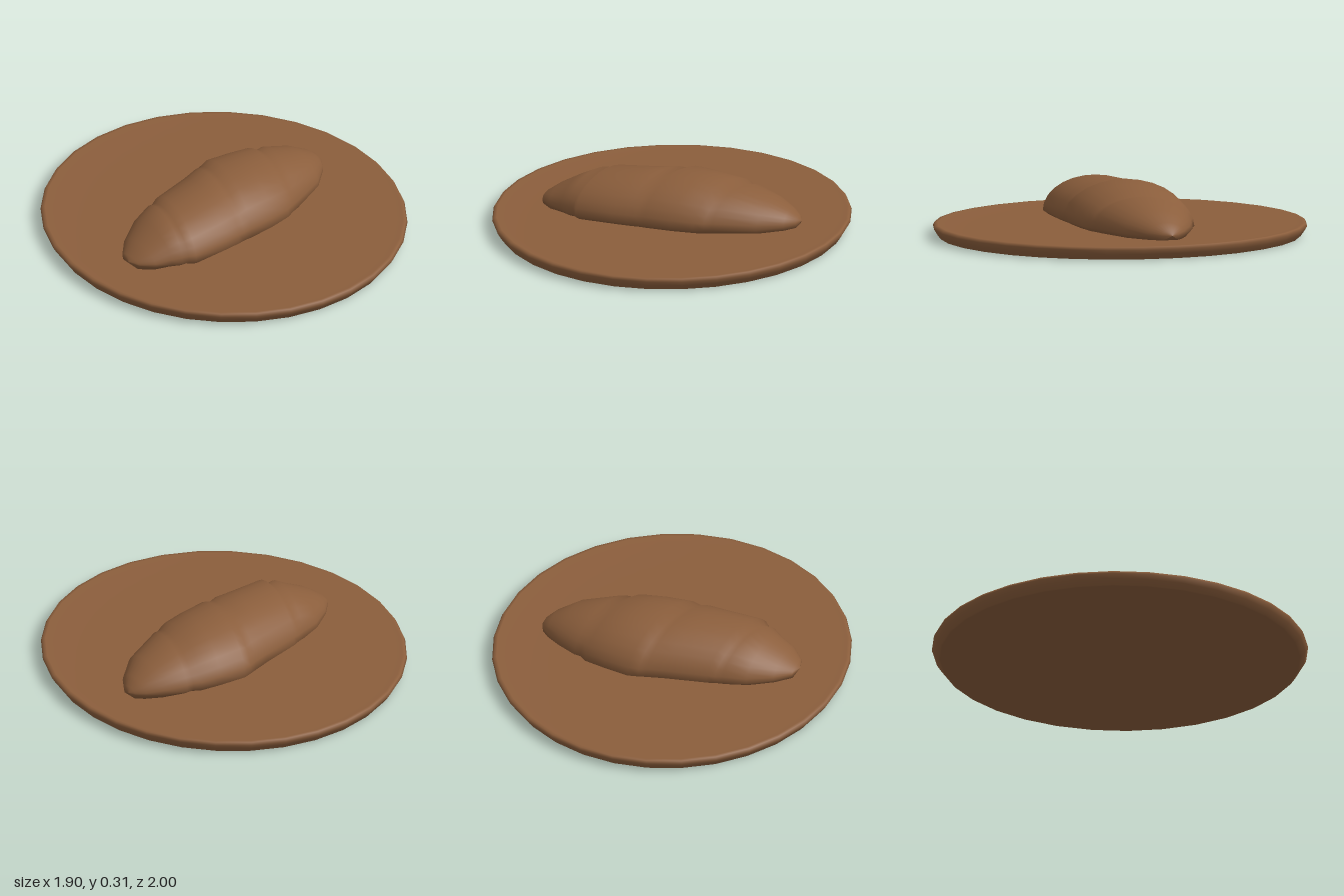
import * as THREE from 'three';

const crust = new THREE.MeshStandardMaterial({ color: 0x8b5e3c });
crust.name = 'warm brown';

// Oval plate: shallow lathe with a flared rim
function makePlate() {
  const profile = [
    [0, 0], [0.955, 0], [0.965, 0.002], [0.985, 0.03], [1, 0.055],
    [0.992, 0.07], [0.975, 0.071], [0.93, 0.067], [0.6, 0.065], [0, 0.065],
  ].map(([r, y]) => new THREE.Vector2(r, y));
  const geometry = new THREE.LatheGeometry(profile, 32);
  geometry.scale(0.95, 1, 1);
  const plate = new THREE.Mesh(geometry, crust);
  plate.name = 'plate';
  return plate;
}

// Loaf: domed cross-sections along x, skewed so the scored grooves run diagonally
function makeLoaf() {
  // [x on the centre line, back z, front z, top y, skew]
  const stations = [
    [-0.71, 0.025, 0.025, 0.09, 0],
    [-0.69, -0.05, 0.09, 0.115, 0.05],
    [-0.62, -0.125, 0.16, 0.165, 0.1],
    [-0.52, -0.2, 0.2, 0.218, 0.2],
    [-0.435, -0.235, 0.235, 0.26, 0.33],
    [-0.395, -0.242, 0.245, 0.244, 0.33], // groove
    [-0.36, -0.255, 0.275, 0.28, 0.33],
    [-0.15, -0.29, 0.287, 0.29, 0.33],
    [-0.06, -0.31, 0.29, 0.3, 0.33],
    [-0.02, -0.32, 0.288, 0.285, 0.33], // groove
    [0.03, -0.33, 0.293, 0.308, 0.33],
    [0.18, -0.305, 0.292, 0.296, 0.33],
    [0.3, -0.28, 0.28, 0.28, 0.33],
    [0.345, -0.25, 0.26, 0.25, 0.33], // groove
    [0.385, -0.245, 0.25, 0.26, 0.33],
    [0.55, -0.19, 0.17, 0.21, 0.15],
    [0.65, -0.13, 0.075, 0.155, 0.05],
    [0.695, -0.085, 0.01, 0.118, 0],
    [0.71, -0.045, -0.045, 0.09, 0],
  ];
  const arc = 14, ring = arc + 3, rimY = 0.09;
  const positions = [], index = [];
  stations.forEach(([u, back, front, top, skew], i) => {
    const mid = (back + front) / 2, w = (front - back) / 2;
    const add = (z, y) => positions.push(u - skew * z, y, z);
    // dome from the front edge over to the back edge
    for (let j = 0; j <= arc; j++) {
      const t = (Math.PI * j) / arc;
      add(mid + w * Math.cos(t), rimY + (top - rimY) * Math.sin(t));
    }
    // tucked-in underside
    const baseY = rimY - 0.025 * Math.min(1, w / 0.05);
    add(mid - 0.87 * w, baseY);
    add(mid + 0.87 * w, baseY);
    if (i === 0) return;
    for (let j = 0; j < ring; j++) {
      const k = (j + 1) % ring, p = (i - 1) * ring, q = i * ring;
      index.push(p + j, q + j, p + k, q + j, q + k, p + k);
    }
  });
  const geometry = new THREE.BufferGeometry();
  geometry.setAttribute('position', new THREE.Float32BufferAttribute(positions, 3));
  geometry.setIndex(index);
  geometry.computeVertexNormals();
  const loaf = new THREE.Mesh(geometry, crust);
  loaf.name = 'loaf';
  return loaf;
}

export function createModel() {
  const model = new THREE.Group();
  model.name = 'breadOnPlate';
  model.add(makePlate(), makeLoaf());
  return model;
}
